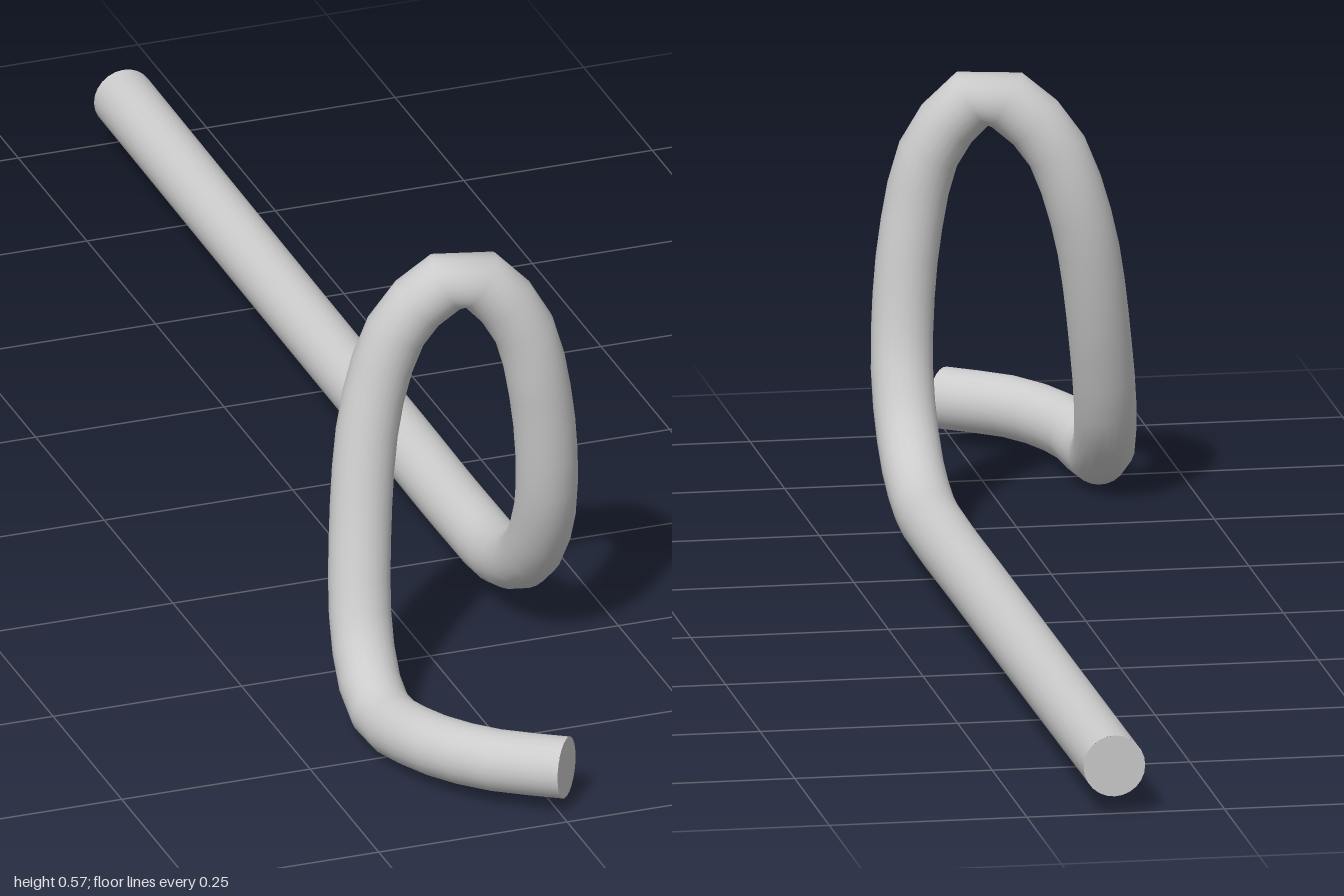
import * as THREE from 'three';

export function createModel() {
  const group = new THREE.Group();
  group.name = 'bentRodHook';
  const material = new THREE.MeshStandardMaterial({ color: 0xcccccc });
  const radius = 0.039, segments = 64, sides = 24;

  // Centre line: curled tip, rising loop, then the long straight shank
  const path = new THREE.CatmullRomCurve3([
    [0.013, 0.055, 0.962], [-0.07, 0.053, 0.9], [-0.122, 0.046, 0.81],
    [-0.139, 0.04, 0.7], [-0.134, 0.09, 0.625], [-0.12, 0.2, 0.573],
    [-0.087, 0.385, 0.53], [-0.042, 0.495, 0.531], [0.03, 0.545, 0.549],
    [0.092, 0.485, 0.564], [0.122, 0.375, 0.567], [0.138, 0.21, 0.543],
    [0.139, 0.11, 0.48], [0.139, 0.062, 0.38], [0.139, 0.054, 0.25],
    [0.139, 0.055, 0], [0.139, 0.057, -0.5], [0.139, 0.06, -0.999],
  ].map((p) => new THREE.Vector3(...p)), false, 'centripetal');

  const rod = new THREE.Mesh(new THREE.TubeGeometry(path, segments, radius, sides), material);
  rod.name = 'bentRod';
  group.add(rod);

  // Flat discs closing both ends, facing outward along the path
  const addCap = (name, t, sign) => {
    const cap = new THREE.Mesh(new THREE.CircleGeometry(radius, sides), material);
    cap.name = name;
    cap.position.copy(path.getPointAt(t));
    cap.quaternion.setFromUnitVectors(
      new THREE.Vector3(0, 0, 1), path.getTangentAt(t).multiplyScalar(sign));
    group.add(cap);
  };
  addCap('tipCap', 0, -1);
  addCap('shankCap', 1, 1);

  return group;
}
